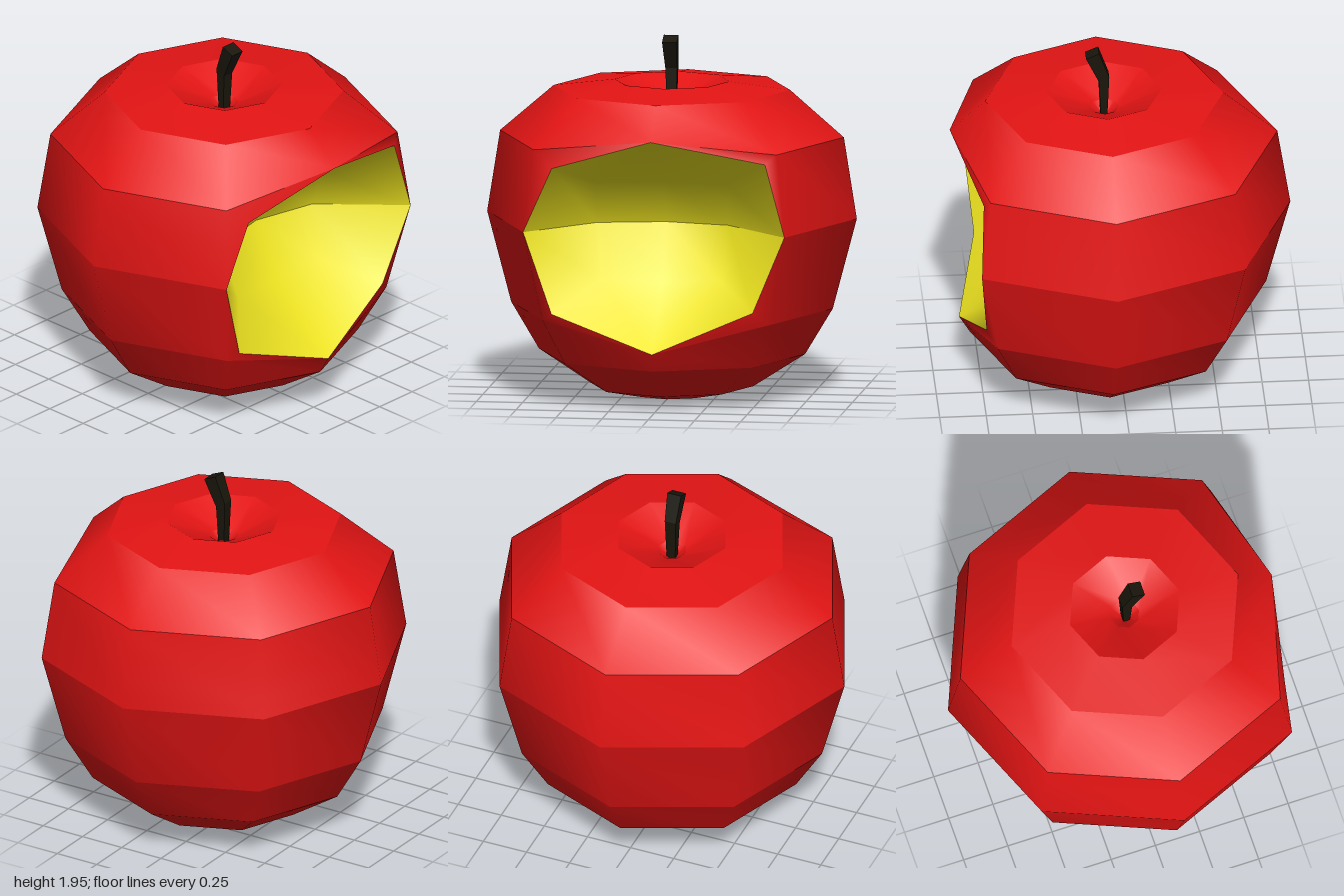
import * as THREE from 'three';

const CZ = 0.08; // z of the fruit's axis
const red = new THREE.MeshStandardMaterial({ color: 0xe41414 });
const yellow = new THREE.MeshStandardMaterial({ color: 0xeee420, side: THREE.DoubleSide });
const brown = new THREE.MeshStandardMaterial({ color: 0x1a160c, flatShading: true });

// Eight-sided ring, point 0 at the front; "front" replaces that point
function ring(r, y, front) {
  const pts = [];
  for (let k = 0; k < 8; k++) {
    const a = (k * Math.PI) / 4;
    pts.push([r * Math.sin(a), y, CZ + r * Math.cos(a)]);
  }
  if (front) pts[0] = front;
  return pts;
}

function makeMesh(name, points, index, material) {
  const g = new THREE.BufferGeometry();
  g.setAttribute('position', new THREE.Float32BufferAttribute(points.flat(), 3));
  g.setIndex(index);
  g.computeVertexNormals();
  const mesh = new THREE.Mesh(g, material);
  mesh.name = name;
  return mesh;
}

// Faces between an upper row and a lower row of n points, for the given columns
function stripIndex(n, columns, offset = 0) {
  return columns.flatMap((k) => {
    const a = offset + k, b = offset + ((k + 1) % n);
    return [a, a + n, b + n, a, b + n, b];
  });
}

export function createModel() {
  const apple = new THREE.Group();
  apple.name = 'bittenApple';

  // Rim of the bite
  const biteTop = [0, 1.49, 0.91];
  const biteBottom = [0, 0.33, 0.86];
  const upperR = [0.6, 1.36, 0.77], upperL = [-0.55, 1.32, 0.8];
  const lowerR = [0.53, 0.55, 0.75], lowerL = [-0.56, 0.52, 0.74];

  // Skin rings from the stem pit down to the hollow underneath
  const rings = [
    ring(0, 1.54), ring(0.08, 1.6), ring(0.31, 1.7), ring(0.64, 1.66),
    ring(0.93, 1.41, biteTop), ring(1, 0.97), ring(0.87, 0.48, biteBottom),
    ring(0.72, 0.23), ring(0.44, 0.05), ring(0.2, 0), ring(0.1, 0.02), ring(0, 0.08),
  ];

  // Each band is smooth around the fruit with a crease at its edges
  const skin = new THREE.Group();
  skin.name = 'skin';
  const all = [0, 1, 2, 3, 4, 5, 6, 7];
  const open = [1, 2, 3, 4, 5, 6];
  for (let i = 0; i < rings.length - 1; i++) {
    const points = [...rings[i], ...rings[i + 1]];
    let index = stripIndex(8, i === 4 || i === 5 ? open : all);
    if (i === 4) { // slivers of skin above the bite
      points.push(upperR, upperL);
      index = index.concat([0, 16, 1, 1, 16, 9, 0, 7, 17, 7, 15, 17]);
    } else if (i === 5) { // slivers of skin below the bite
      points.push(lowerR, lowerL);
      index = index.concat([1, 16, 9, 16, 8, 9, 7, 15, 17, 17, 15, 8]);
    }
    skin.add(makeMesh('skinBand' + (i + 1), points, index, red));
  }
  apple.add(skin);

  // Hollow of the bite: two lofted halves meeting at a crease
  const s = Math.SQRT1_2;
  const middle = [[-s, 0.97, CZ + s], [-0.36, 0.97, 0.4], [0, 0.97, 0.32], [0.35, 0.97, 0.4], [s, 0.97, CZ + s]];
  const upper = [upperL, [-0.36, 1.2, 0.48], [0, 1.2, 0.42], [0.35, 1.2, 0.48], upperR];
  const lower = [lowerL, [-0.32, 0.68, 0.5], [0, 0.66, 0.46], [0.32, 0.68, 0.5], lowerR];
  const cols = [0, 1, 2, 3];
  const fan = (tip, flip) => cols.flatMap((k) => (flip ? [k + 5, tip, k + 6] : [k, k + 1, tip]));
  const flesh = new THREE.Group();
  flesh.name = 'flesh';
  flesh.add(
    makeMesh('upperFlesh', [...upper, ...middle, biteTop], [...stripIndex(5, cols), ...fan(10, false)], yellow),
    makeMesh('lowerFlesh', [...middle, ...lower, biteBottom], [...stripIndex(5, cols), ...fan(10, true)], yellow),
  );
  apple.add(flesh);

  // Stem: square sections [half width, back y, back z, front y, front z]
  const sections = [
    [0.04, 1.95, 0.11, 1.92, 0.18],
    [0.032, 1.8, 0.055, 1.77, 0.11],
    [0.024, 1.54, 0.065, 1.54, 0.1],
  ];
  const stemPoints = sections.flatMap(([w, by, bz, fy, fz]) => [
    [-w, fy, fz], [w, fy, fz], [w, by, bz], [-w, by, bz],
  ]);
  const sides = [0, 1, 2, 3];
  apple.add(makeMesh('stem', stemPoints,
    [...stripIndex(4, sides), ...stripIndex(4, sides, 4), 0, 1, 2, 0, 2, 3, 8, 10, 9, 8, 11, 10], brown));

  return apple;
}
